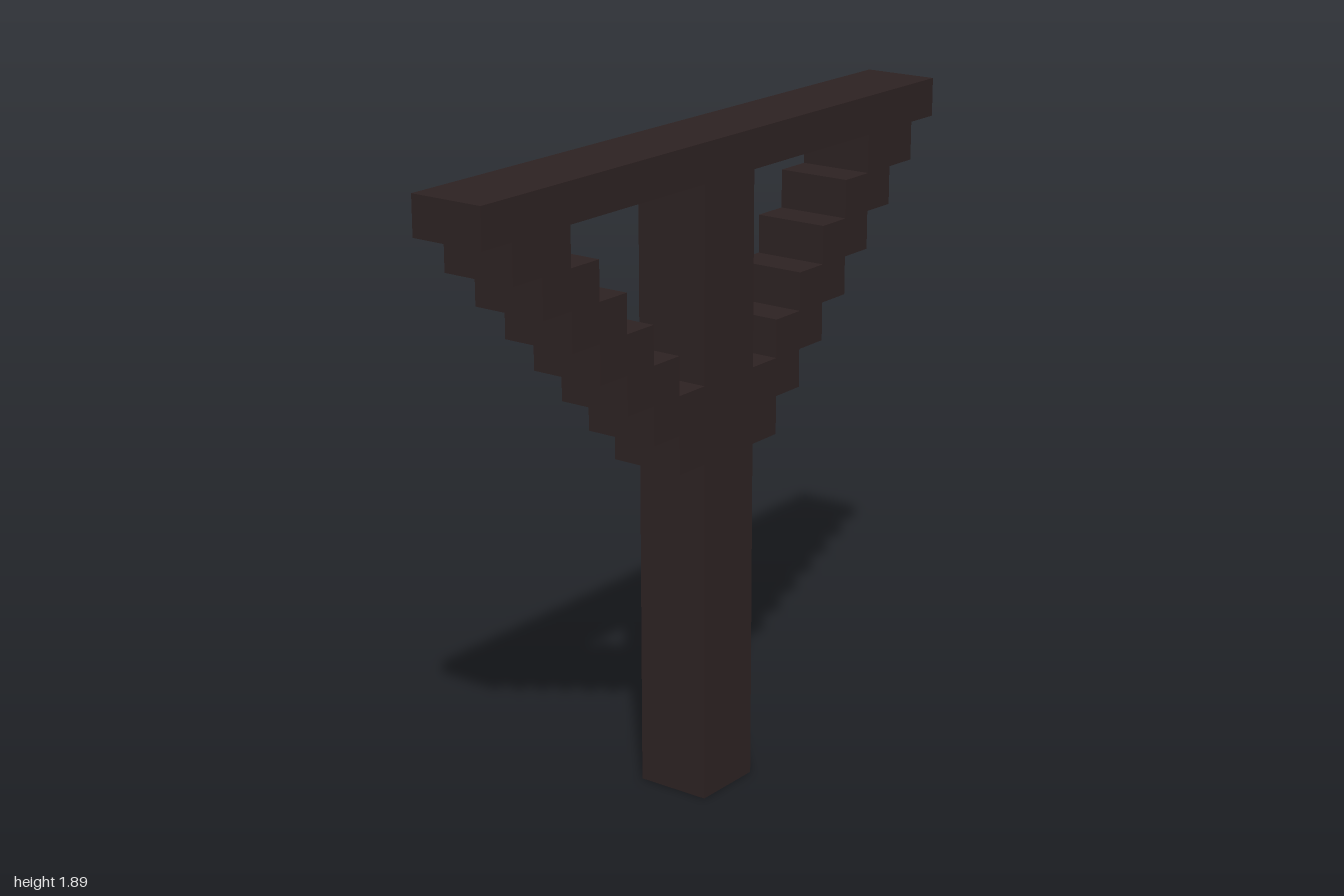
import * as THREE from 'three';

const U = 1 / 9; // one step of the stair-shaped braces

export function createModel() {
  const group = new THREE.Group();
  const darkWood = new THREE.MeshStandardMaterial({ color: 0x2d2222 });
  darkWood.name = 'darkWood';

  const add = (name, geometry) => {
    const mesh = new THREE.Mesh(geometry, darkWood);
    mesh.name = name;
    group.add(mesh);
    return mesh;
  };

  // Upright post and the beam resting on it
  add('post', new THREE.BoxGeometry(2 * U, 16 * U, 2 * U)).position.y = 8 * U;
  add('topBeam', new THREE.BoxGeometry(18 * U, U, 2 * U)).position.y = 16.5 * U;

  // Stepped diagonal brace, mirrored to each side
  const brace = (name, side) => {
    const points = [];
    const put = (x, y) => points.push(new THREE.Vector2(side * x * U, y * U));
    put(1, 9);
    for (let i = 0; i < 7; i++) { // outer steps, going up
      put(2 + i, 9 + i);
      put(2 + i, 10 + i);
    }
    for (let i = 5; i >= 1; i--) { // inner steps, coming down
      put(i + 1, i + 11);
      put(i + 1, i + 10);
    }
    put(1, 11);
    const geometry = new THREE.ExtrudeGeometry(new THREE.Shape(points), { depth: 2 * U, bevelEnabled: false });
    geometry.translate(0, 0, -U);
    add(name, geometry);
  };
  brace('leftBrace', 1);
  brace('rightBrace', -1);

  return group;
}
